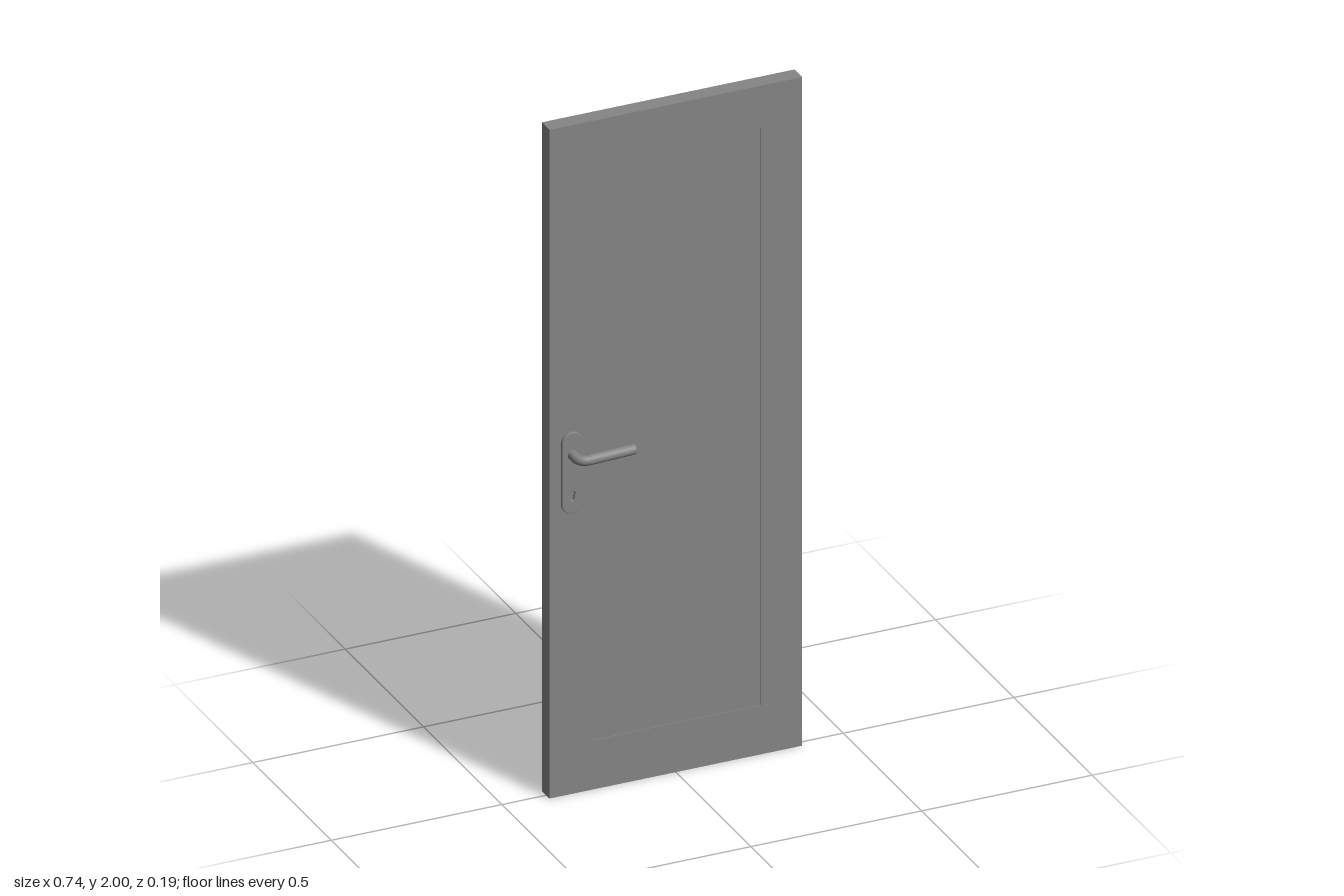
import * as THREE from 'three';

const material = new THREE.MeshStandardMaterial({ color: 0x858585 });

function addMesh(parent, name, geometry) {
  const mesh = new THREE.Mesh(geometry, material);
  mesh.name = name;
  parent.add(mesh);
  return mesh;
}

function rectangle(target, x, y0, y1) {
  target.moveTo(-x, y0);
  target.lineTo(x, y0);
  target.lineTo(x, y1);
  target.lineTo(-x, y1);
  target.closePath();
  return target;
}

// Cylinder running between two points
function rod(parent, name, a, b, radius, radiusEnd = radius) {
  const dir = b.clone().sub(a);
  const mesh = addMesh(parent, name, new THREE.CylinderGeometry(radiusEnd, radius, dir.length(), 28));
  mesh.position.copy(a).add(b).multiplyScalar(0.5);
  mesh.quaternion.setFromUnitVectors(new THREE.Vector3(0, 1, 0), dir.normalize());
}

// Long rounded plate with a keyhole, centred on x = 0
function plateGeometry(thickness) {
  const bevel = 0.002, r = 0.03 - bevel, low = 0.874, high = 1.056;
  const shape = new THREE.Shape();
  shape.absarc(0, high, r, 0, Math.PI, false);
  shape.absarc(0, low, r, Math.PI, Math.PI * 2, false);
  shape.closePath();
  const keyhole = new THREE.Path();
  keyhole.absarc(0, 0.903, 0.01, -0.6, Math.PI + 0.6, false);
  keyhole.absarc(0, 0.888, 0.0075, Math.PI, Math.PI * 2, false);
  keyhole.closePath();
  shape.holes.push(keyhole);
  return new THREE.ExtrudeGeometry(shape, {
    depth: thickness - 2 * bevel, bevelEnabled: true, bevelThickness: bevel,
    bevelSize: bevel, bevelSegments: 2, curveSegments: 20,
  }).translate(0, 0, bevel);
}

// One handle set; side is +1 for the front, -1 for the back
function makeHandle(name, side, x, zInner, zOuter, zShift) {
  const group = new THREE.Group();
  group.name = name;
  group.position.x = x;
  const point = (px, pz, y = 1.02) => new THREE.Vector3(px, y, side * (pz + zShift));

  const plate = addMesh(group, 'handlePlate', plateGeometry(zOuter - zInner));
  plate.position.z = side > 0 ? zInner : -zOuter;

  // Screw heads above the lever and below the keyhole
  for (const y of [1.064, 0.862]) {
    rod(group, 'plateScrew',
      new THREE.Vector3(0, y, side * (zOuter - 0.002)),
      new THREE.Vector3(0, y, side * (zOuter + 0.0005)), 0.004, 0.003);
  }

  // Neck leaving the plate and bending into the grip
  const path = new THREE.CurvePath();
  path.add(new THREE.LineCurve3(point(0, 0.026), point(0, 0.05)));
  path.add(new THREE.CubicBezierCurve3(
    point(0, 0.05), point(0, 0.068), point(0.01, 0.0785), point(0.03, 0.0768)));
  addMesh(group, 'leverNeck', new THREE.TubeGeometry(path, 32, 0.0142, 28, false));

  // Grip, slightly angled back toward the door, with an end cap
  rod(group, 'leverGrip', point(0.029, 0.0768), point(0.157, 0.0695), 0.0147);
  rod(group, 'gripCap', point(0.157, 0.0695), point(0.164, 0.0691), 0.0142);
  return group;
}

export function createModel() {
  const model = new THREE.Group();
  model.name = 'door';

  // Outer frame of the leaf
  const back = -0.028, front = 0.021;
  const leaf = rectangle(new THREE.Shape(), 0.37, 0, 2);
  leaf.holes.push(rectangle(new THREE.Path(), 0.249, 0.147, 1.874));
  addMesh(model, 'doorFrame',
    new THREE.ExtrudeGeometry(leaf, { depth: front - back, bevelEnabled: false }).translate(0, 0, back));

  // Inset panel, shallow at the front and deep at the back
  const panelBack = -0.006, panelFront = 0.018;
  const panel = addMesh(model, 'doorPanel',
    new THREE.BoxGeometry(0.498, 1.727, panelFront - panelBack));
  panel.position.set(0, 1.0105, (panelFront + panelBack) / 2);

  model.add(makeHandle('frontHandle', 1, -0.308, 0.023, 0.033, 0.0008));
  model.add(makeHandle('backHandle', -1, -0.314, 0.028, 0.041, 0.0025));
  return model;
}
